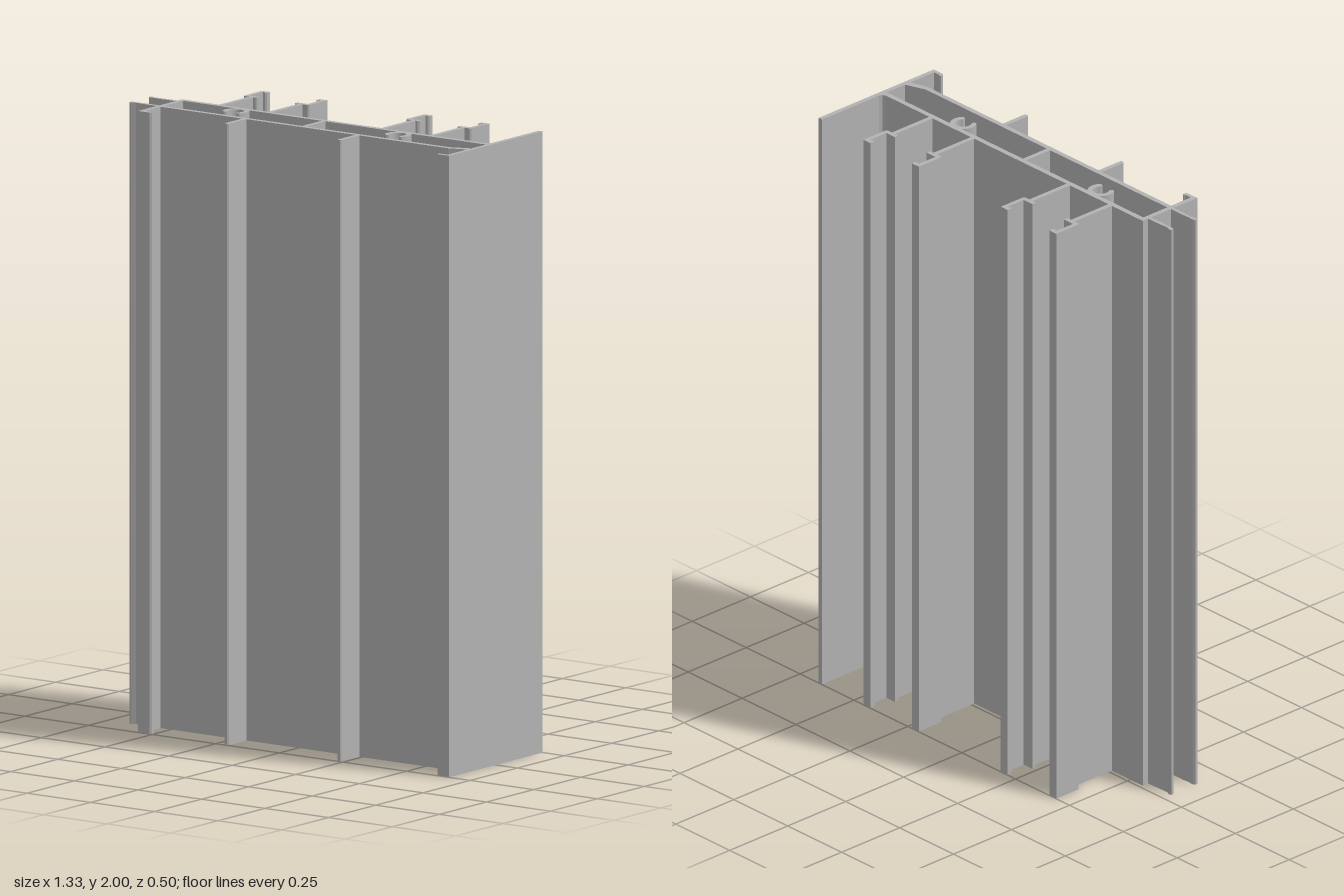
import * as THREE from 'three';

const HEIGHT = 2;

export function createModel() {
  const model = new THREE.Group();
  model.name = 'extrudedFrameProfile';
  const profile = new THREE.Group();
  profile.name = 'profile';
  profile.position.set(0.0025, 0, 0.0045); // centre the section
  model.add(profile);
  const aluminium = new THREE.MeshStandardMaterial({ color: 0xb2b2b2 });
  aluminium.name = 'aluminium grey';

  // Extrudes a cross-section given as [x, z] points to the full height.
  const extrude = (name, points) => {
    const shape = new THREE.Shape(points.map(([x, z]) => new THREE.Vector2(x, z)));
    const geo = new THREE.ExtrudeGeometry(shape, { depth: HEIGHT, bevelEnabled: false });
    geo.rotateX(Math.PI / 2).translate(0, HEIGHT, 0);
    const mesh = new THREE.Mesh(geo, aluminium);
    mesh.name = name;
    profile.add(mesh);
  };
  const bar = (name, x0, x1, z0, z1) =>
    extrude(name, [[x0, z0], [x1, z0], [x1, z1], [x0, z1]]);

  // Hollow body: two plates joined by webs
  bar('backPlate', -0.56, 0.647, 0.008, 0.026);
  extrude('frontPlate', [[-0.543, 0.129], [0.578, 0.129], [0.647, 0.104], [0.647, 0.126], [0.587, 0.146], [-0.543, 0.146]]);
  bar('middleWeb', 0, 0.016, 0.026, 0.129);
  extrude('cornerFillet', [[0.63, 0.008], [0.642, 0.003], [0.647, -0.008], [0.647, 0.008]]);

  // Side walls with inturned feet
  extrude('rightWallAndFoot', [[-0.56, 0.026], [-0.543, 0.026], [-0.543, 0.23], [-0.518, 0.23], [-0.513, 0.226],
    [-0.509, 0.228], [-0.509, 0.238], [-0.514, 0.243], [-0.56, 0.243]]);
  extrude('leftWallAndFoot', [[0.647, -0.253], [0.663, -0.253], [0.663, 0.243], [0.619, 0.243], [0.614, 0.238],
    [0.614, 0.228], [0.618, 0.226], [0.623, 0.23], [0.647, 0.23]]);

  // Front fins with rounded tips
  for (const x of [-0.214, 0.23]) {
    extrude('frontFin', [[x - 0.008, 0.146], [x + 0.008, 0.146], [x + 0.008, 0.239], [x + 0.004, 0.243],
      [x - 0.004, 0.243], [x - 0.008, 0.239]]);
  }

  // Gasket tongues with beaded ends on the side wall
  for (const [z, s] of [[0.037, 1], [0.137, -1]]) {
    const points = [[-0.56, -0.006], [-0.61, -0.005], [-0.645, -0.003], [-0.66, -0.009], [-0.668, -0.006],
      [-0.668, 0.003], [-0.66, 0.007], [-0.64, 0.006], [-0.61, 0.008], [-0.56, 0.007]];
    extrude('gasketTongue', points.map(([x, d]) => [x, z + s * d]));
  }

  // Hooked rails on the back, in facing pairs
  for (const [x, s] of [[-0.408, 1], [-0.214, -1], [0.23, 1], [0.423, -1]]) {
    const points = [[-0.008, 0.008], [-0.008, -0.152], [-0.027, -0.152], [-0.032, -0.157], [-0.032, -0.253],
      [0, -0.253], [0, -0.236], [-0.005, -0.232], [-0.01, -0.238], [-0.017, -0.238], [-0.017, -0.168],
      [0.023, -0.168], [0.023, -0.155], [0.018, -0.15], [0.013, -0.152], [0.008, -0.152], [0.008, 0.008]];
    extrude('hookedRail', points.map(([d, z]) => [x + s * d, z]));
  }

  // Open round screw channels under the back plate
  const arc = (cx, cz, r, from, to, n) => Array.from({ length: n + 1 }, (_, i) => {
    const a = from + (to - from) * i / n;
    return [cx + r * Math.cos(a), cz + r * Math.sin(a)];
  });
  for (const x of [-0.312, 0.326]) {
    const z = 0.058, r = 0.034, t = 0.0085;
    const a0 = Math.PI * 0.8, a1 = Math.PI * 2.2;
    const cap = (a, start) => arc(x + r * Math.cos(a), z + r * Math.sin(a), t, start, start + Math.PI, 6).slice(1, -1);
    extrude('screwChannel', [
      ...arc(x, z, r + t, a0, a1, 24), ...cap(a1, a1),
      ...arc(x, z, r - t, a1, a0, 24), ...cap(a0, a0 + Math.PI),
    ]);
  }
  return model;
}
